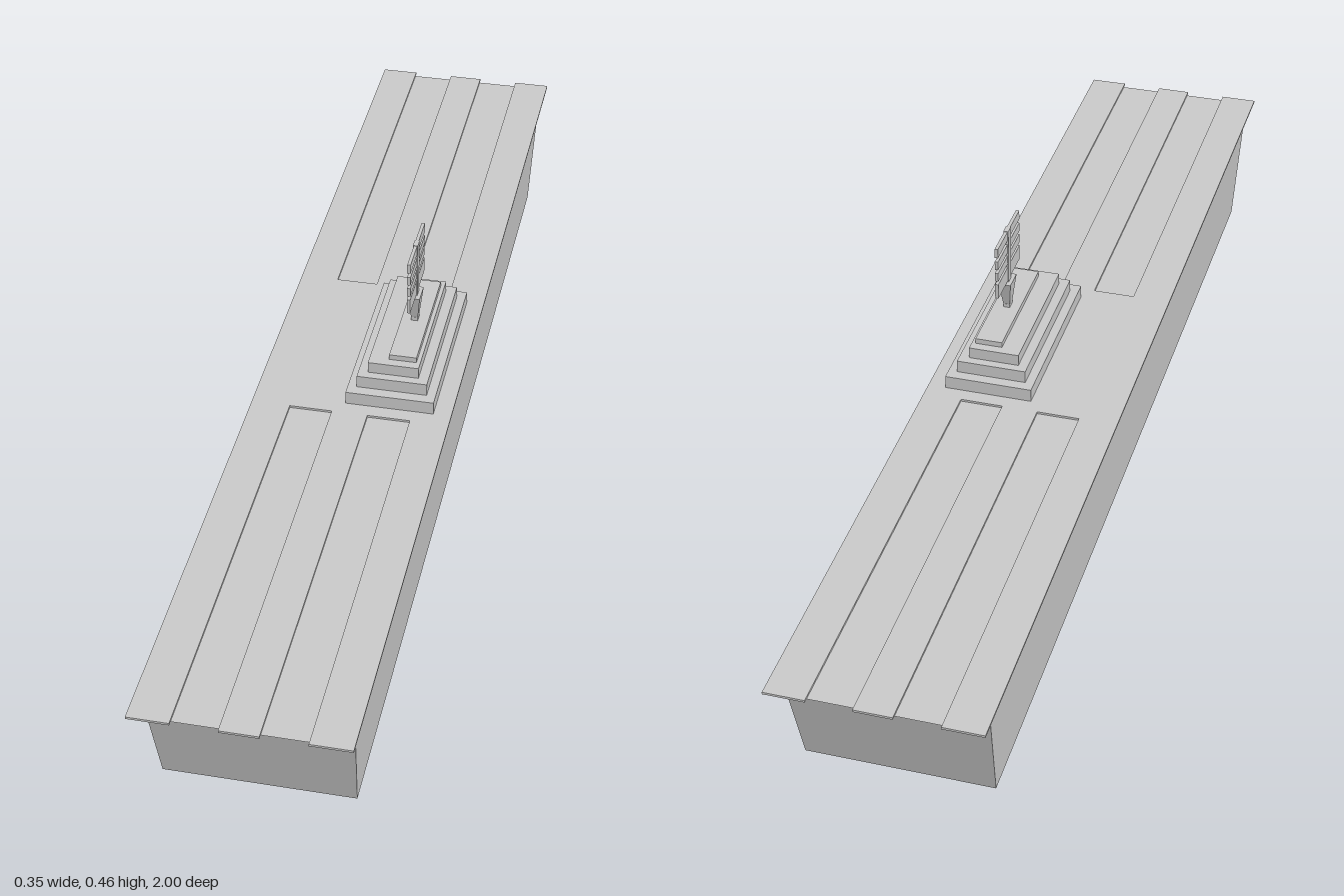
import * as THREE from 'three';

const material = new THREE.MeshStandardMaterial({ color: 0xcccccc, flatShading: true });

// Box whose lower and upper rectangles (half sizes) may differ
function frustum(name, y0, y1, [bx, bz], [tx, tz], x = 0) {
  const geo = new THREE.BoxGeometry(2, 1, 2);
  const p = geo.attributes.position;
  for (let i = 0; i < p.count; i++) {
    const top = p.getY(i) > 0;
    p.setXYZ(i, x + p.getX(i) * (top ? tx : bx), top ? y1 : y0, p.getZ(i) * (top ? tz : bz));
  }
  geo.computeVertexNormals();
  const mesh = new THREE.Mesh(geo, material);
  mesh.name = name;
  return mesh;
}

const block = (name, x0, x1, y0, y1, halfZ) => {
  const half = [(x1 - x0) / 2, halfZ];
  return frustum(name, y0, y1, half, half, (x0 + x1) / 2);
};

export function createModel() {
  const model = new THREE.Group();
  model.name = 'aircraftCarrier';

  // Hull with tapered sides and a flared rim under the deck
  const deckY = 0.217, recess = 0.004;
  model.add(frustum('hull', 0, 0.194, [0.159, 0.893], [0.167, 0.943]));
  model.add(frustum('deckFlare', 0.194, deckY - recess, [0.167, 0.943], [0.176, 0.992]));

  // Deck plate with two shallow runway channels open at each end
  const inner = 0.032, outer = 0.108, w = 0.177, end = 0.2;
  const outline = [
    [-w, -1], [-outer, -1], [-outer, -end], [-inner, -end], [-inner, -1],
    [inner, -1], [inner, -end], [outer, -end], [outer, -1], [w, -1],
  ];
  const points = [...outline, ...outline.map(([x, y]) => [-x, -y])];
  const shape = new THREE.Shape(points.map(([x, y]) => new THREE.Vector2(x, y)));
  const deckGeo = new THREE.ExtrudeGeometry(shape, { depth: recess, bevelEnabled: false });
  deckGeo.rotateX(-Math.PI / 2).translate(0, deckY - recess, 0);
  const deck = new THREE.Mesh(deckGeo, material);
  deck.name = 'flightDeck';
  model.add(deck);

  // Stepped island, offset to the left side
  const island = new THREE.Group();
  island.name = 'island';
  [
    [-0.013, 0.145, deckY - 0.002, 0.241, 0.173],
    [0.003, 0.129, 0.241, 0.264, 0.153],
    [0.02, 0.111, 0.264, 0.285, 0.137],
    [0.055, 0.104, 0.285, 0.295, 0.12],
  ].forEach((t, i) => island.add(block('islandTier' + (i + 1), ...t)));
  model.add(island);

  // Mast: foot, flaring pedestal and central post
  const mx = 0.079;
  const mast = new THREE.Group();
  mast.name = 'mast';
  mast.add(block('mastFoot', mx - 0.006, mx + 0.006, 0.295, 0.302, 0.009));
  mast.add(frustum('mastPedestal', 0.3, 0.35, [0.006, 0.008], [0.011, 0.02], mx));
  mast.add(block('mastPost', mx - 0.0045, mx + 0.0045, 0.35, 0.456, 0.008));

  // Horizontal antenna bars
  [[0.352, 0.381], [0.388, 0.405], [0.412, 0.429], [0.437, 0.455]].forEach(([y0, y1], i) =>
    mast.add(block('antennaBar' + (i + 1), mx - 0.003, mx + 0.003, y0, y1, 0.068)));
  model.add(mast);

  return model;
}
